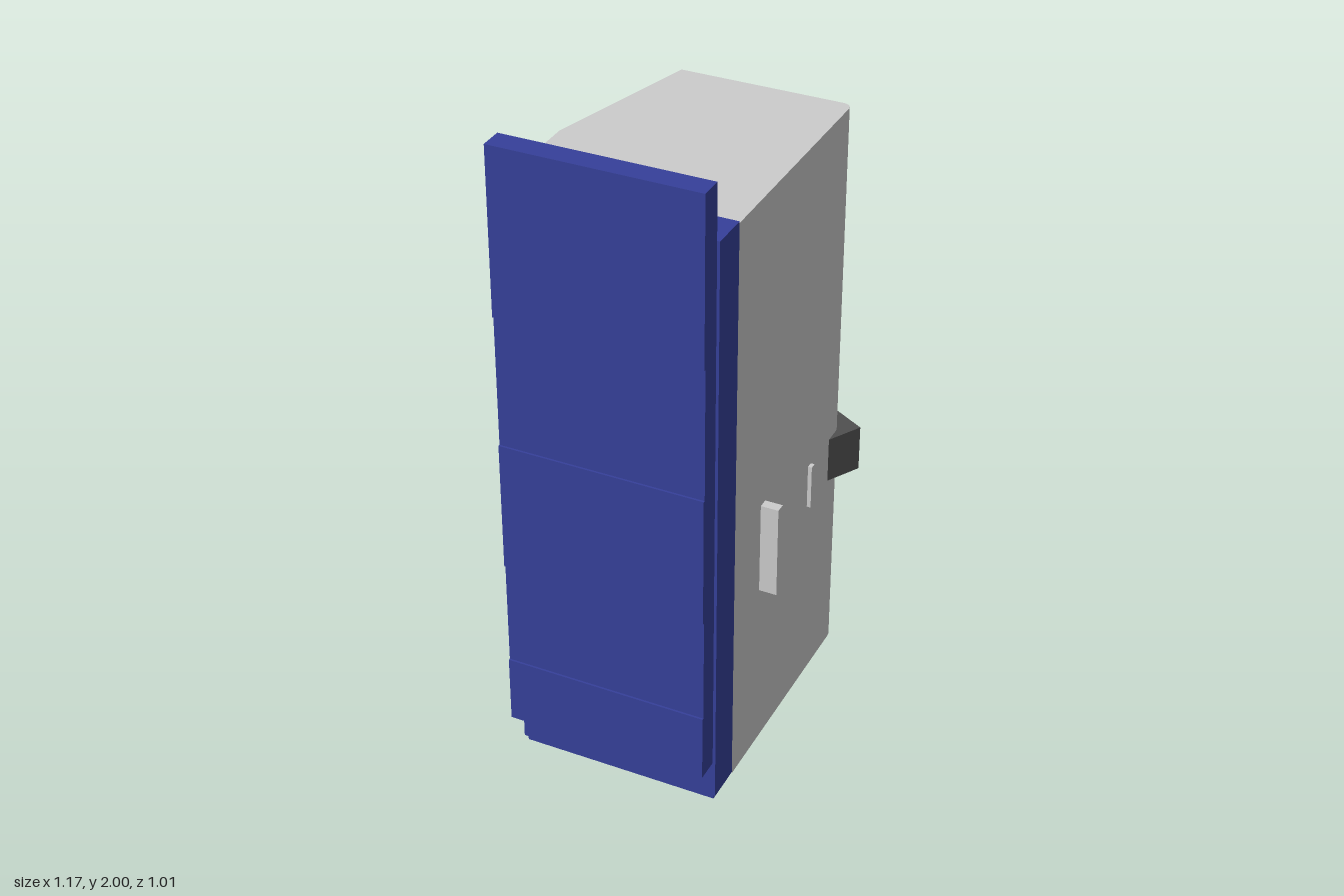
import * as THREE from 'three';

const mat = (color) => new THREE.MeshStandardMaterial({ color, side: THREE.DoubleSide });
const GREY = mat(0xcccccc), MID = mat(0x999999), DARK = mat(0x505050), BLACK = mat(0x1c1c1f), BLUE = mat(0x36409a);

// Open outline of the working side, as (x, -z) pairs, from the side wall round to the blue cabinet
const OUTLINE = [[0.45, -0.04], [0.45, 0.224], [-0.03, 0.353], [-0.2, 0.353], [-0.245, 0.318], [-0.29, 0.318]];
const SLANT = -Math.atan2(0.129, 0.48);

function add(parent, name, geometry, material, x = 0, y = 0, z = 0) {
  const mesh = new THREE.Mesh(geometry, material);
  mesh.name = name;
  mesh.position.set(x, y, z);
  parent.add(mesh);
  return mesh;
}

// Box given by its limits on each axis
function box(parent, name, material, x0, x1, y0, y1, z0, z1) {
  return add(parent, name, new THREE.BoxGeometry(x1 - x0, y1 - y0, z1 - z0), material,
    (x0 + x1) / 2, (y0 + y1) / 2, (z0 + z1) / 2);
}

// Upright prism from a plan shape
function prism(parent, name, material, shape, y0, y1) {
  const geometry = new THREE.ExtrudeGeometry(shape, { depth: y1 - y0, bevelEnabled: false, curveSegments: 6 });
  geometry.rotateX(-Math.PI / 2);
  return add(parent, name, geometry, material, 0, y0, 0);
}

const polygon = (pts) => new THREE.Shape(pts.map(([x, y]) => new THREE.Vector2(x, y)));

// Plan shape that starts with the rear wall and its rounded corner
function planShape(rest) {
  const s = new THREE.Shape();
  s.moveTo(-0.29, -0.292);
  s.lineTo(0.42, -0.292);
  s.quadraticCurveTo(0.45, -0.292, 0.45, -0.262);
  rest.forEach(([x, y]) => s.lineTo(x, y));
  s.closePath();
  return s;
}

// Outline moved outward by d with mitred corners
function offset(pts, d) {
  const normal = (a, b) => new THREE.Vector2(b[1] - a[1], a[0] - b[0]).normalize();
  return pts.map((p, i) => {
    const n1 = i > 0 ? normal(pts[i - 1], p) : normal(p, pts[i + 1]);
    const n2 = i < pts.length - 1 ? normal(p, pts[i + 1]) : n1;
    const m = n1.clone().add(n2);
    m.multiplyScalar(2 * d / m.lengthSq());
    return [p[0] + m.x, p[1] + m.y];
  });
}
const band = (pts, inner, outer) => polygon([...offset(pts, outer), ...offset(pts, inner).reverse()]);

// Thin plate lying on the slanted front face; t runs from the side wall to the middle
function slantPlate(parent, name, material, t, y, w, h, d) {
  const m = add(parent, name, new THREE.BoxGeometry(w, h, d), material, 0.45 - 0.48 * t, y, -0.224 - 0.129 * t);
  m.rotation.y = SLANT;
  return m;
}

function cylinder(parent, name, material, r0, r1, h, x, y, z, n = 32) {
  return add(parent, name, new THREE.CylinderGeometry(r0, r1, h, n), material, x, y, z);
}

function buildHousing(g) {
  prism(g, 'base', GREY, planShape(OUTLINE), 0.015, 0.55);
  prism(g, 'rearHousing', GREY, planShape([[0.45, -0.04], [0.1, -0.04], [0.1, -0.2], [-0.29, -0.2]]), 0.55, 1.3);
  prism(g, 'upperFrontSkirt', GREY, band(OUTLINE, -0.012, 0), 1.055, 1.3);
  prism(g, 'upperHousing', GREY, planShape(OUTLINE), 1.3, 1.82);

  // Wrap-around door with window and pull bar
  prism(g, 'lowerDoor', DARK, band(OUTLINE.slice(0, 5), -0.004, 0.008), 0.07, 0.56);
  slantPlate(g, 'doorWindow', MID, 0.54, 0.315, 0.16, 0.22, 0.022);
  const bar = new THREE.CatmullRomCurve3([[-0.2, -0.355], [-0.197, -0.385], [-0.175, -0.397], [-0.065, -0.397],
    [-0.045, -0.385], [-0.04, -0.355]].map(([x, z]) => new THREE.Vector3(x, 0.55, z)));
  add(g, 'doorHandle', new THREE.TubeGeometry(bar, 30, 0.007, 8), DARK);

  // Rear face handle and slot cover
  box(g, 'rearHandle', GREY, -0.12, -0.09, 0.56, 0.85, 0.29, 0.345);
  box(g, 'rearSlotCover', GREY, 0.215, 0.235, 0.635, 0.775, 0.29, 0.304);

  // Dashed vent seams and small hatches near the top
  for (let i = 0; i < 20; i++) {
    slantPlate(g, 'frontVent', DARK, 0.03 + i * 0.049, 1.64, 0.012, 0.005, 0.003);
    box(g, 'sideVent', DARK, 0.449, 0.4515, 1.638, 1.643, -0.2 + i * 0.024, -0.188 + i * 0.024);
  }
  slantPlate(g, 'hatch', GREY, 0.62, 1.71, 0.11, 0.1, 0.006);
  slantPlate(g, 'hatchPull', DARK, 0.62, 1.71, 0.014, 0.05, 0.01);
  for (const x of [-0.09, -0.16]) box(g, 'topLatch', DARK, x - 0.02, x + 0.02, 1.72, 1.728, -0.356, -0.35);
}

function buildCabinet(g) {
  box(g, 'innerCabinet', BLUE, -0.405, -0.29, 0.02, 1.825, -0.325, 0.292);
  box(g, 'cabinetFoot', BLUE, -0.4, -0.295, 0.004, 0.02, -0.315, 0.285);
  box(g, 'cabinetSpacer', BLUE, -0.426, -0.404, 0.17, 1.82, -0.3, 0.28);
  box(g, 'outerCabinet', BLUE, -0.488, -0.425, 0.16, 2, -0.314, 0.293);
  for (const [y0, y1] of [[0.16, 0.37], [0.7, 1.1], [1.5, 2]]) {
    box(g, 'outerPanel', BLUE, -0.494, -0.487, y0, y1, -0.314, 0.293);
  }
}

function buildControls(g) {
  prism(g, 'controlHousing', GREY, polygon([[-0.03, 0.352], [0.205, 0.288], [0.205, 0.352]]), 1.235, 1.46);
  box(g, 'controlPlate', BLACK, -0.022, 0.2, 1.24, 1.45, -0.357, -0.351);
  box(g, 'screen', BLUE, 0.115, 0.19, 1.28, 1.365, -0.36, -0.356);
  for (let r = 0; r < 4; r++) {
    for (let c = 0; c < 12; c++) {
      if (c === 6) continue;
      const x = 0.184 - c * 0.0165, y = 1.432 - r * 0.0155;
      box(g, 'key', MID, x - 0.005, x + 0.005, y - 0.004, y + 0.004, -0.36, -0.356);
    }
  }
  for (let r = 0; r < 3; r++) {
    for (let c = 0; c < 4; c++) {
      const x = 0.085 - c * 0.028, y = 1.355 - r * 0.025;
      box(g, 'softKey', MID, x - 0.006, x + 0.006, y - 0.006, y + 0.006, -0.361, -0.356);
    }
  }
  const stop = cylinder(g, 'stopButton', mat(0xd9561e), 0.01, 0.008, 0.014, 0.093, 1.256, -0.363, 16);
  const dial = cylinder(g, 'dial', BLACK, 0.011, 0.011, 0.022, 0.008, 1.265, -0.367, 16);
  stop.rotation.x = dial.rotation.x = -Math.PI / 2;

  // Signal lamp lying sideways
  const lamp = new THREE.Group();
  lamp.name = 'signalLamp';
  const parts = [['lampPole', GREY, 0.2, 0.29, 0.007], ['lampBase', GREY, 0.285, 0.325, 0.0125],
    ['greenLens', mat(0x3f9a45), 0.325, 0.362, 0.0125], ['amberLens', mat(0xe2a22c), 0.362, 0.403, 0.0125],
    ['redLens', mat(0xc23a2c), 0.403, 0.445, 0.0125]];
  for (const [name, m, x0, x1, r] of parts) {
    cylinder(lamp, name, m, r, r, x1 - x0, (x0 + x1) / 2, 1.23, -0.322, 20).rotation.z = Math.PI / 2;
  }
  g.add(lamp);
}

function buildWorkArea(g) {
  // Spindle head above
  cylinder(g, 'spindleHead', GREY, 0.075, 0.075, 0.2, 0.06, 1.21, -0.04);
  cylinder(g, 'spindleCollar', GREY, 0.055, 0.05, 0.03, 0.06, 1.095, -0.04);
  cylinder(g, 'spindleNose', MID, 0.032, 0.032, 0.03, 0.06, 1.07, -0.04);

  // Work table with chuck
  box(g, 'tableBase', GREY, -0.15, 0.02, 0.55, 0.6, -0.24, -0.02);
  box(g, 'tableSide', GREY, 0.02, 0.12, 0.55, 0.61, -0.17, -0.05);
  cylinder(g, 'tableColumn', GREY, 0.06, 0.07, 0.09, -0.07, 0.615, -0.18, 8);
  cylinder(g, 'chuck', GREY, 0.08, 0.08, 0.05, -0.07, 0.675, -0.17);
  cylinder(g, 'chuckTop', GREY, 0.05, 0.055, 0.03, -0.07, 0.71, -0.17);
  for (let i = 0; i < 3; i++) {
    const jaw = add(g, 'chuckJaw', new THREE.BoxGeometry(0.035, 0.012, 0.015), MID,
      -0.07 + 0.035 * Math.cos(i * 2.094), 0.728, -0.17 + 0.035 * Math.sin(i * 2.094));
    jaw.rotation.y = -i * 2.094;
  }

  // Guide posts, side column and swing arm
  for (const x of [-0.09, -0.13]) cylinder(g, 'guidePost', GREY, 0.014, 0.014, 0.75, x, 0.925, 0.02, 16);
  box(g, 'slideColumn', GREY, -0.24, -0.02, 0.55, 1.3, 0.1, 0.2);
  box(g, 'sideColumn', GREY, 0.34, 0.42, 0.55, 1.3, 0.015, 0.05);
  const chute = box(g, 'innerChute', DARK, 0.2, 0.32, 0.66, 0.76, -0.04, 0.05);
  chute.rotation.z = 0.5;
  const arm = cylinder(g, 'swingArm', GREY, 0.03, 0.03, 0.16, 0.17, 0.7, -0.04, 20);
  arm.rotation.z = 1.1;
  cylinder(g, 'armJoint', GREY, 0.045, 0.045, 0.07, 0.13, 0.69, -0.05, 24).rotation.x = Math.PI / 2;
}

export function createModel() {
  const root = new THREE.Group();
  root.name = 'machiningCentre';

  // The whole machine stands turned on the floor
  const machine = new THREE.Group();
  machine.name = 'machine';
  machine.rotation.y = Math.PI / 6;
  root.add(machine);
  [buildHousing, buildCabinet, buildControls, buildWorkArea].forEach((build) => build(machine));

  // Open square chute through the side wall
  const tube = polygon([[-0.068, 0.63], [0.122, 0.63], [0.122, 0.775], [-0.068, 0.775]]);
  tube.holes.push(polygon([[-0.062, 0.636], [-0.062, 0.769], [0.116, 0.769], [0.116, 0.636]]));
  const geometry = new THREE.ExtrudeGeometry(tube, { depth: 0.14, bevelEnabled: false });
  geometry.rotateY(Math.PI / 2);
  add(root, 'sideChute', geometry, DARK, 0.442, 0, 0);
  return root;
}
